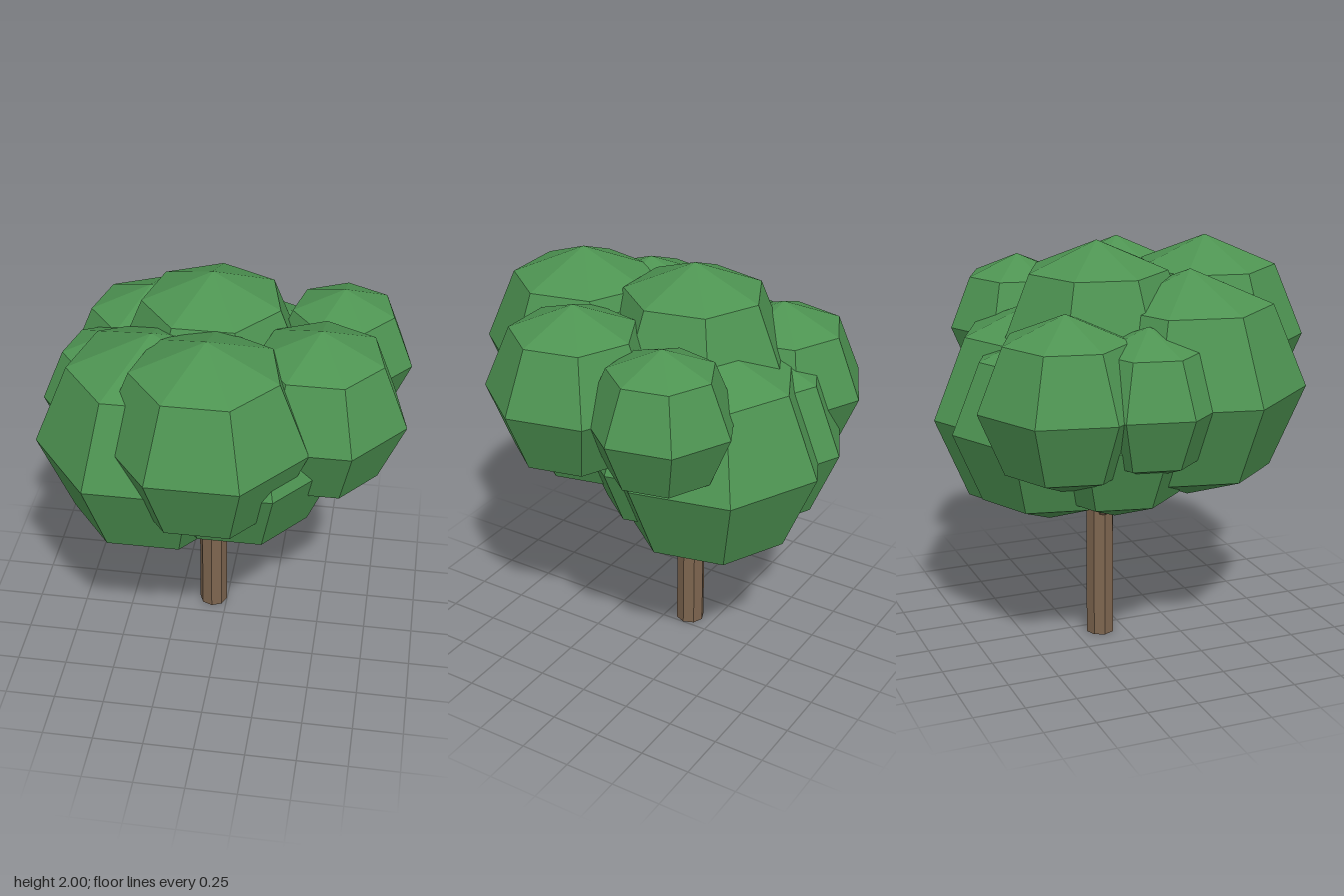
import * as THREE from 'three';

const bark = new THREE.MeshStandardMaterial({ color: 0x7d654f, flatShading: true });
bark.name = 'bark brown';
const leaf = new THREE.MeshStandardMaterial({ color: 0x4e9452, flatShading: true });
leaf.name = 'leaf green';

// Leaf clumps: [x, y, z, radius]
const clumps = [
  [-0.07, 1.52, -0.13, 0.48],   // crown
  [-0.01, 1.49, 0.46, 0.49],    // upper front
  [0.475, 1.49, 0.19, 0.425],   // upper left
  [0.54, 1.49, -0.325, 0.355],  // upper back left
  [-0.295, 1.315, 0.255, 0.56], // front right
  [-0.54, 1.315, -0.06, 0.36],  // right
  [-0.425, 1.315, -0.42, 0.425],// back right
  [0.11, 1.315, 0.26, 0.495],   // lower front
  [0.11, 1.145, -0.34, 0.56],   // lower back
  [-0.15, 1.145, -0.41, 0.475], // lower back middle
  [-0.35, 1.145, -0.15, 0.43],  // lower right
  [0.2, 1.145, -0.13, 0.4],     // lower left
];

// Tapered branch between two points
function branch(name, from, to, r0, r1) {
  const a = new THREE.Vector3(...from), b = new THREE.Vector3(...to);
  const dir = b.clone().sub(a);
  const mesh = new THREE.Mesh(new THREE.CylinderGeometry(r1, r0, dir.length(), 8), bark);
  mesh.position.copy(a).add(b).multiplyScalar(0.5);
  mesh.quaternion.setFromUnitVectors(new THREE.Vector3(0, 1, 0), dir.normalize());
  mesh.name = name;
  return mesh;
}

export function createModel() {
  const tree = new THREE.Group();
  tree.name = 'tree';

  // Trunk and the branches that fork into the leaves
  const x = -0.073, z = -0.12;
  tree.add(branch('trunk', [x, 0, z], [x, 1.1, z], 0.072, 0.07));
  tree.add(branch('rightBranch', [x, 0.62, z], [-0.33, 0.87, z], 0.035, 0.03));
  tree.add(branch('leftBranch', [x, 0.62, z], [0.15, 0.84, z - 0.02], 0.035, 0.03));
  tree.add(branch('backBranch', [x, 0.64, z], [x, 0.87, -0.3], 0.035, 0.03));

  // Leaves: seven-sided faceted balls with one corner to the back
  const foliage = new THREE.Group();
  foliage.name = 'foliage';
  const ball = new THREE.SphereGeometry(1, 7, 4).rotateY(-Math.PI / 2);
  clumps.forEach(([cx, cy, cz, r], i) => {
    const mesh = new THREE.Mesh(ball, leaf);
    mesh.position.set(cx, cy, cz);
    mesh.scale.setScalar(r);
    mesh.name = `leafClump${i + 1}`;
    foliage.add(mesh);
  });
  tree.add(foliage);
  return tree;
}
